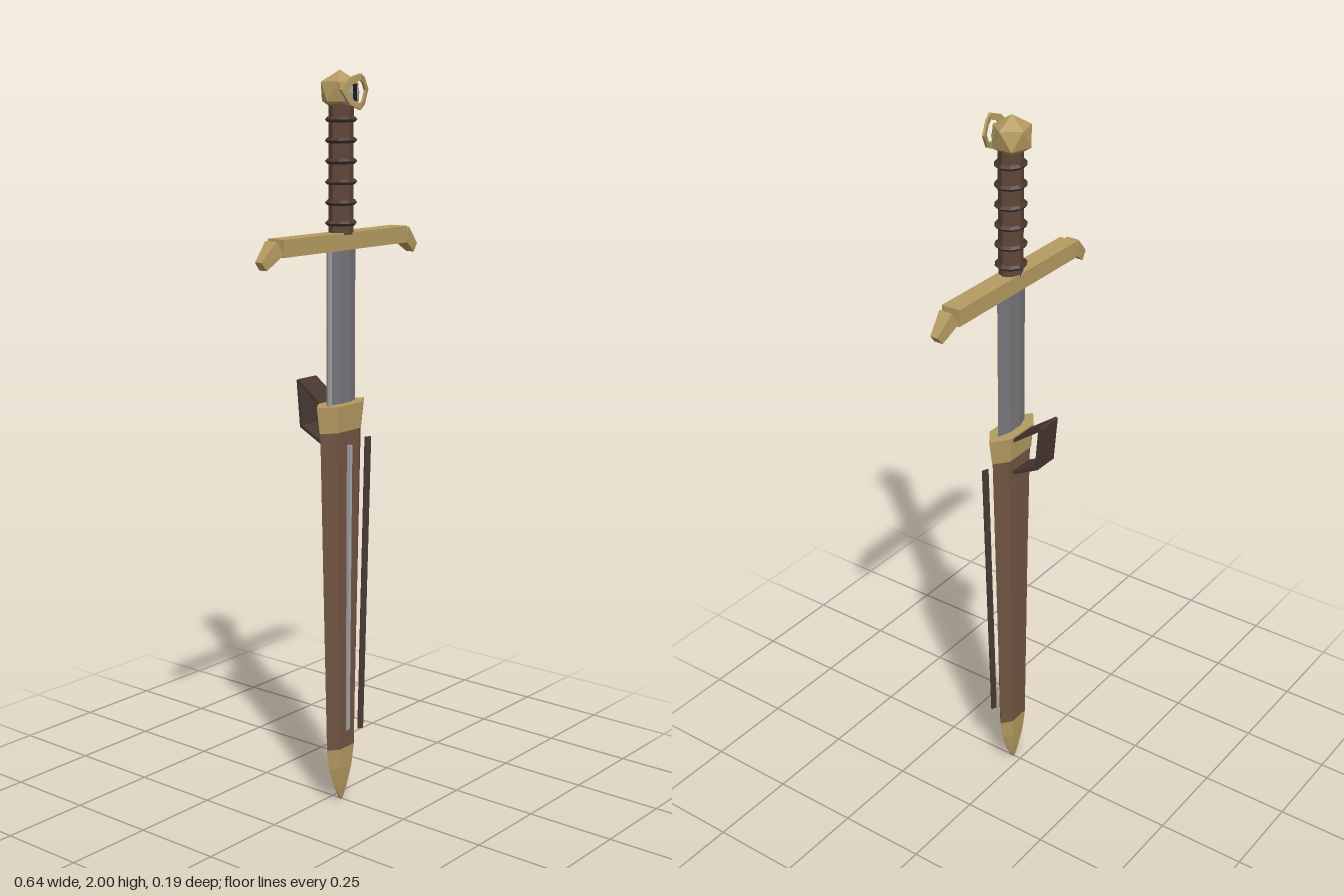
import * as THREE from 'three';

const Z = 0.028; // depth of the sword's long axis

function mat(name, color, extra = {}) {
  const m = new THREE.MeshStandardMaterial({ color, ...extra });
  m.name = name;
  m.flatShading = true;
  return m;
}

// Skin a list of equal-length point rings and close both ends
function loft(rings) {
  const pos = [], n = rings[0].length;
  const tri = (...p) => p.forEach(v => pos.push(...v));
  const mid = r => [0, 1, 2].map(k => r.reduce((s, p) => s + p[k], 0) / n);
  const first = rings[0], last = rings[rings.length - 1];
  for (let i = 0; i < n; i++) {
    const j = (i + 1) % n;
    for (let k = 0; k < rings.length - 1; k++) {
      const a = rings[k], b = rings[k + 1];
      tri(a[i], b[i], b[j]);
      tri(a[i], b[j], a[j]);
    }
    tri(mid(first), first[i], first[j]);
    tri(mid(last), last[j], last[i]);
  }
  const g = new THREE.BufferGeometry();
  g.setAttribute('position', new THREE.Float32BufferAttribute(pos, 3));
  g.computeVertexNormals();
  return g;
}

// Flattened six-sided section: half width, half width of the flat, half depth
const hex = ([y, rx, f, rz]) => [
  [rx, y, Z], [f, y, Z + rz], [-f, y, Z + rz],
  [-rx, y, Z], [-f, y, Z - rz], [f, y, Z - rz]];
const hexLoft = rows => loft(rows.map(hex));

export function createModel() {
  const root = new THREE.Group();
  root.name = 'sheathedDagger';
  const gold = mat('gold', 0xb59b61);
  const leather = mat('brown leather', 0x705442);
  const gripMat = mat('grip leather', 0x5f4638);
  const dark = mat('dark leather', 0x483730);
  const steel = mat('steel', 0x77777b);
  const silver = mat('silver', 0xa6a6a9);
  const black = mat('black', 0x1c1a1a);

  function add(name, geo, material, x = 0, y = 0, z = 0) {
    const m = new THREE.Mesh(geo, material);
    m.name = name;
    m.position.set(x, y, z);
    root.add(m);
    return m;
  }

  // Scabbard with its metal ends
  add('chape', hexLoft([[0, 0.004, 0.002, 0.006], [0.045, 0.03, 0.012, 0.014],
    [0.1, 0.05, 0.024, 0.02], [0.16, 0.06, 0.03, 0.024]]), gold);
  add('scabbard', hexLoft([[0.16, 0.059, 0.031, 0.023], [1.065, 0.086, 0.047, 0.025]]), leather);
  add('throat', hexLoft([[1.06, 0.088, 0.048, 0.03], [1.132, 0.1, 0.052, 0.035]]), gold);

  // Inlay down the middle of the scabbard
  const bar = (y, w, z0, z1) => [[w, y, z0], [w, y, z1], [-w, y, z1], [-w, y, z0]];
  add('inlay', loft([bar(0.21, 0.005, 0.047, 0.057), bar(1.02, 0.005, 0.049, 0.064)]), silver);

  // Thin strip floating beside the scabbard edge
  const strip = (y, x0, x1, z) => [[x1, y, z + 0.003], [x1, y, z + 0.006], [x0, y, z], [x0, y, z - 0.003]];
  add('sideStrip', loft([strip(0.2, 0.045, 0.06, 0.055), strip(1.03, 0.072, 0.09, 0.055)]), dark);

  // Belt clip: three plates bent behind the scabbard
  const clip = [[1.12, -0.005], [1.182, -0.09], [1.06, -0.079], [1.022, -0.006]];
  for (let i = 0; i < 3; i++) {
    const [y0, z0] = clip[i], [y1, z1] = clip[i + 1];
    const len = Math.hypot(y1 - y0, z1 - z0);
    const m = add('beltClip', new THREE.BoxGeometry(0.076, 0.009, len + 0.006), dark,
      0, (y0 + y1) / 2, (z0 + z1) / 2);
    m.rotation.x = -Math.atan2(y1 - y0, z1 - z0);
  }

  // Blade
  add('blade', hexLoft([[1.1, 0.06, 0.022, 0.012], [1.55, 0.06, 0.022, 0.012]]), steel);
  add('bladeEdge', new THREE.BoxGeometry(0.011, 0.41, 0.005), silver, -0.064, 1.335, 0.043);

  // Cross guard with drooping ends
  add('guard', new THREE.BoxGeometry(0.508, 0.045, 0.053), gold, 0, 1.563, 0.0255);
  const end = (xl, yl, xh, yh, r) => [
    [xl, yl, 0.0255 + r], [xh, yh, 0.0255 + r * 0.8], [xh, yh, 0.0255 - r * 0.8], [xl, yl, 0.0255 - r]];
  const tip = loft([end(0.251, 1.548, 0.273, 1.582, 0.024), end(0.304, 1.511, 0.322, 1.533, 0.013)]);
  for (const s of [1, -1]) add('guardTip', tip, gold).scale.x = s;

  // Grip and its wrapped rings
  const grip = add('grip', new THREE.CylinderGeometry(0.036, 0.036, 0.34, 8), gripMat, 0, 1.75, Z);
  grip.scale.z = 0.83;
  for (let i = 0; i < 6; i++) {
    const ring = add('gripRing', new THREE.TorusGeometry(0.038, 0.007, 4, 10), dark, 0, 1.61 + i * 0.053, Z);
    ring.rotation.x = Math.PI / 2;
    ring.scale.y = 0.93;
  }

  // Faceted pommel, one corner up
  const ball = new THREE.IcosahedronGeometry(0.055, 0);
  ball.rotateZ(-Math.atan(2 / (1 + Math.sqrt(5))));
  add('pommel', ball, gold, 0, 1.945, 0.024).scale.x = 1.06;

  // Eye on the pommel: ball, slit and bent lids
  const eye = add('eyeBall', new THREE.SphereGeometry(0.034, 8, 6), silver, 0, 1.943, 0.058);
  eye.scale.z = 0.45;
  add('eyeSlit', new THREE.BoxGeometry(0.011, 0.044, 0.006), black, 0, 1.943, 0.073);
  const outline = k => [[0.056, 0.008], [0.028, 0.038], [0, 0.047], [-0.028, 0.038], [-0.056, 0.008],
    [-0.03, -0.03], [0, -0.044], [0.03, -0.03]].map(([x, y]) => new THREE.Vector2(x * k, y * k));
  const lids = new THREE.Shape(outline(1));
  lids.holes.push(new THREE.Path(outline(0.64)));
  const lidGeo = new THREE.ExtrudeGeometry(lids, { depth: 0.007, bevelEnabled: false });
  const p = lidGeo.attributes.position;
  for (let i = 0; i < p.count; i++) p.setZ(i, p.getZ(i) - 0.36 * Math.abs(p.getX(i)));
  lidGeo.computeVertexNormals();
  add('eyeLids', lidGeo, gold, 0, 1.943, 0.086);

  return root;
}
